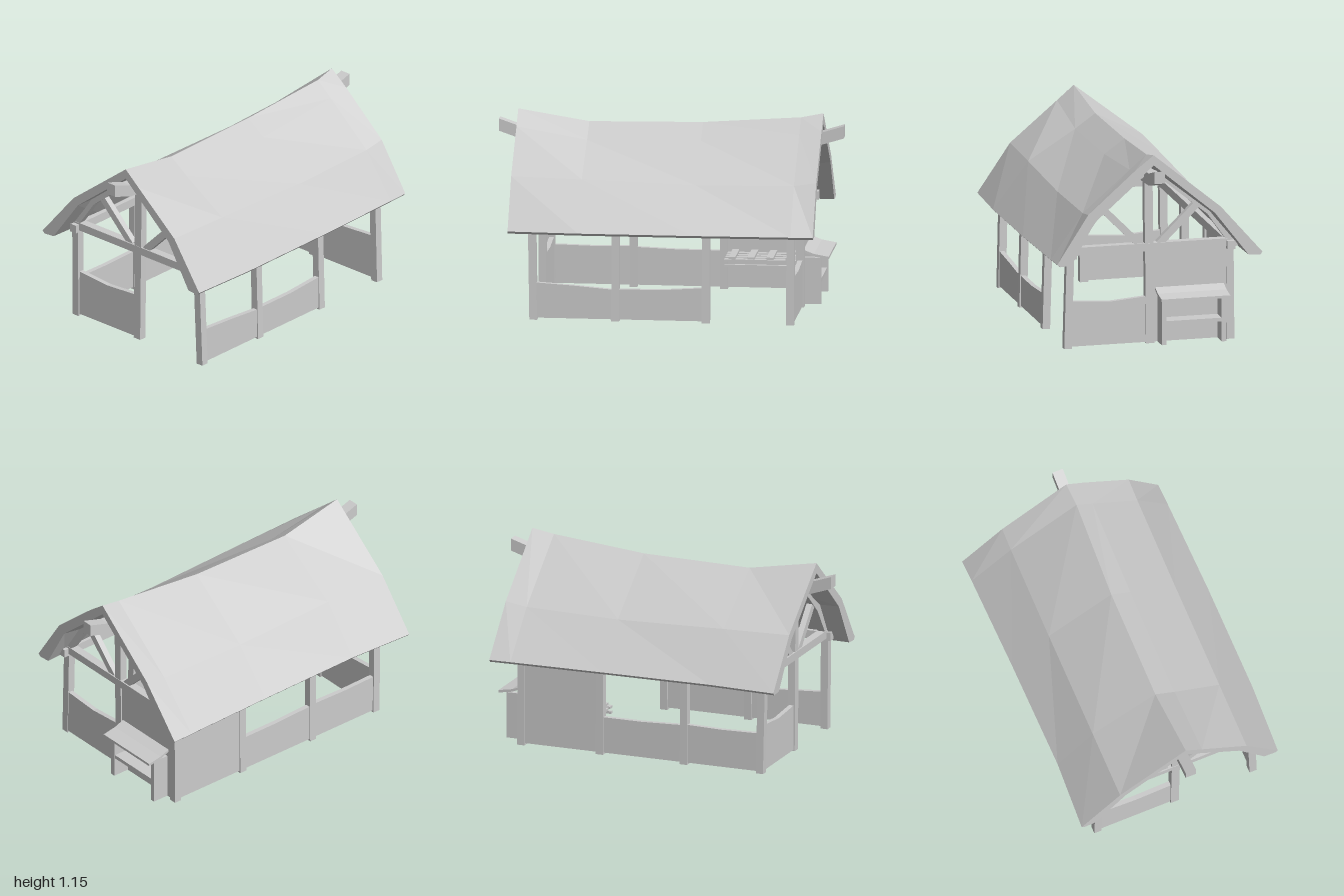
import * as THREE from 'three';

const mat = new THREE.MeshStandardMaterial({ color: 0xcccccc, flatShading: true });
const V = (x, y, z) => new THREE.Vector3(x, y, z);

export function createModel() {
  const group = new THREE.Group();

  function add(name, geometry) {
    const mesh = new THREE.Mesh(geometry, mat);
    mesh.name = name;
    group.add(mesh);
    return mesh;
  }

  function box(name, x0, x1, y0, y1, z0, z1) {
    const mesh = add(name, new THREE.BoxGeometry(x1 - x0, y1 - y0, z1 - z0));
    mesh.position.set((x0 + x1) / 2, (y0 + y1) / 2, (z0 + z1) / 2);
    return mesh;
  }

  // Timber between two points: w across (x, or z for lengthwise timbers), h the other way
  function beam(name, a, b, w, h) {
    const d = b.clone().sub(a);
    const length = d.length();
    d.normalize();
    const u = Math.abs(d.x) > 0.9 ? V(0, 0, 1) : V(1, 0, 0);
    u.addScaledVector(d, -u.dot(d)).normalize();
    const geo = new THREE.BoxGeometry(w, length, h);
    geo.applyMatrix4(new THREE.Matrix4().makeBasis(u, d, u.clone().cross(d)));
    const mesh = add(name, geo);
    mesh.position.copy(a).add(b).multiplyScalar(0.5);
    return mesh;
  }

  // Closed solid through sections along x; each section is a loop of [x, y, z]
  function loft(name, sections) {
    const n = sections[0].length;
    const index = [];
    for (let s = 0; s < sections.length - 1; s++) {
      for (let i = 0; i < n; i++) {
        const j = (i + 1) % n;
        const a = s * n + i, b = s * n + j;
        index.push(a, a + n, b, b, a + n, b + n);
      }
    }
    const contour = sections[0].map(p => new THREE.Vector2(p[2], p[1]));
    const last = (sections.length - 1) * n;
    for (const [a, b, c] of THREE.ShapeUtils.triangulateShape(contour, [])) {
      index.push(a, b, c, last + a, last + c, last + b);
    }
    const geo = new THREE.BufferGeometry();
    geo.setAttribute('position', new THREE.Float32BufferAttribute(sections.flat(2), 3));
    geo.setIndex(index);
    const flat = geo.toNonIndexed();
    flat.computeVertexNormals();
    return add(name, flat);
  }

  const rect = (x, y0, y1, z0, z1) => [[x, y0, z1], [x, y1, z1], [x, y1, z0], [x, y0, z0]];

  // Low wall along x with a sagging top edge
  function lowWall(name, x0, x1, z, yA, yMid, yB) {
    return loft(name, [[x0, yA], [(x0 + x1) / 2, yMid], [x1, yB]]
      .map(([x, y]) => rect(x, 0.012, y, z - 0.014, z + 0.014)));
  }

  // Sagging roof: x, ridge y, ridge z, fold y, front eave z, back eave z
  const roofRows = [
    [-0.89, 1.14, 0.03, 0.82, 0.605, -0.62],
    [-0.48, 1.07, 0.01, 0.81, 0.62, -0.60],
    [0.18, 1.08, 0.01, 0.79, 0.615, -0.61],
    [0.75, 1.125, 0.03, 0.80, 0.60, -0.625],
    [0.88, 1.15, 0.02, 0.82, 0.595, -0.63],
  ];
  loft('roof', roofRows.map(([x, ry, rz, fy, ef, eb]) => [
    [x, 0.535, ef], [x, fy, 0.41], [x, ry - 0.085, 0.13], [x, ry, rz],
    [x, fy, -0.38], [x, 0.535, eb], [x, 0.52, eb + 0.015], [x, 0.525, eb + 0.085],
    [x, fy - 0.035, -0.345], [x, ry - 0.06, rz], [x, fy - 0.035, 0.365],
    [x, 0.525, ef - 0.085], [x, 0.52, ef - 0.015],
  ]));

  // Ridge beam with upturned ends
  const ridge = [[-1, 1.045], [-0.87, 1.0], [-0.45, 0.965], [0.2, 0.965], [0.87, 1.005], [1, 1.045]];
  loft('ridgeBeam', ridge.map(([x, y]) => rect(x, y - 0.036, y + 0.036, -0.016, 0.048)));

  // Front and back rows of posts, splayed at the foot
  for (const x of [-0.75, -0.275, 0.25, 0.74]) {
    const lean = x < -0.7 ? -0.01 : 0;
    for (const s of [1, -1]) {
      beam(s > 0 ? 'frontPost' : 'backPost', V(x, 0, s * (s > 0 ? 0.5 : 0.47)),
        V(x + lean, 0.56, s * (s > 0 ? 0.485 : 0.465)), 0.045, 0.045);
    }
  }

  // Eave plates
  for (const z of [0.48, -0.465]) {
    beam('eavePlate', V(-0.8, 0.565, z), V(0.8, 0.565, z), 0.045, 0.05);
  }

  // Gable trusses: king post, tie beam, struts and bent rafters
  for (const x of [-0.75, 0.745]) {
    beam('kingPost', V(x, 0.005, 0.01), V(x, 0.98, 0.022), 0.045, 0.05);
    box('tieBeam', x - 0.025, x + 0.025, 0.553, 0.6, -0.5, 0.51);
    for (const s of [1, -1]) {
      beam('strut', V(x, 0.59, s * 0.055 + 0.012), V(x, 0.82, s * 0.285 + 0.01), 0.035, 0.042);
      beam('lowerRafter', V(x, 0.55, s * 0.5), V(x, 0.77, s * 0.345), 0.045, 0.045);
      beam('upperRafter', V(x, 0.765, s * 0.35), V(x, 1.035, s * 0.03 + 0.01), 0.045, 0.045);
    }
  }

  // Low walls along the front and back
  lowWall('frontWall', -0.75, -0.275, 0.5, 0.22, 0.205, 0.185);
  lowWall('frontWall', -0.275, 0.25, 0.5, 0.19, 0.19, 0.208);
  lowWall('backWall', -0.75, -0.275, -0.47, 0.24, 0.235, 0.24);
  lowWall('backWall', -0.275, 0.25, -0.47, 0.235, 0.225, 0.225);

  // Low end walls, turned to run along z
  const endWalls = [['rightEndWall', -0.49, -0.01, 0.745], ['leftEndWall', -0.01, 0.47, -0.75]];
  for (const [name, a, b, x] of endWalls) {
    lowWall(name, a, b, x, 0.28, 0.265, 0.285).rotation.y = Math.PI / 2;
  }

  // Full-height walls of the closed corner
  box('tallBackWall', 0.25, 0.74, 0.012, 0.555, -0.484, -0.456);
  box('tallEndWall', 0.731, 0.759, 0.012, 0.56, -0.465, 0.01);

  // Stall on the outside of the closed corner: side panels, shelf, sloping top
  for (const z of [-0.048, -0.405]) {
    box('stallSide', 0.755, 0.86, 0.012, 0.285, z - 0.014, z + 0.014);
  }
  box('stallShelf', 0.755, 0.855, 0.13, 0.152, -0.395, -0.06);
  loft('stallTop', [[0.71 + 0.045, 0.32], [0.82, 0.295], [0.905, 0.28]]
    .map(([x, y]) => rect(x, y, y + 0.015, -0.43, -0.02)));

  // Slatted rack along the inside of the tall back wall
  for (const z of [-0.43, -0.37, -0.31, -0.25]) {
    box('rackSlat', 0.275, 0.725, 0.208, 0.222, z - 0.02, z + 0.02);
  }
  box('rackRail', 0.275, 0.725, 0.175, 0.19, -0.255, -0.235);
  for (const x of [0.32, 0.43, 0.54, 0.65]) {
    box('rackBar', x - 0.02, x + 0.02, 0.222, 0.236, -0.45, -0.235);
  }
  return group;
}
